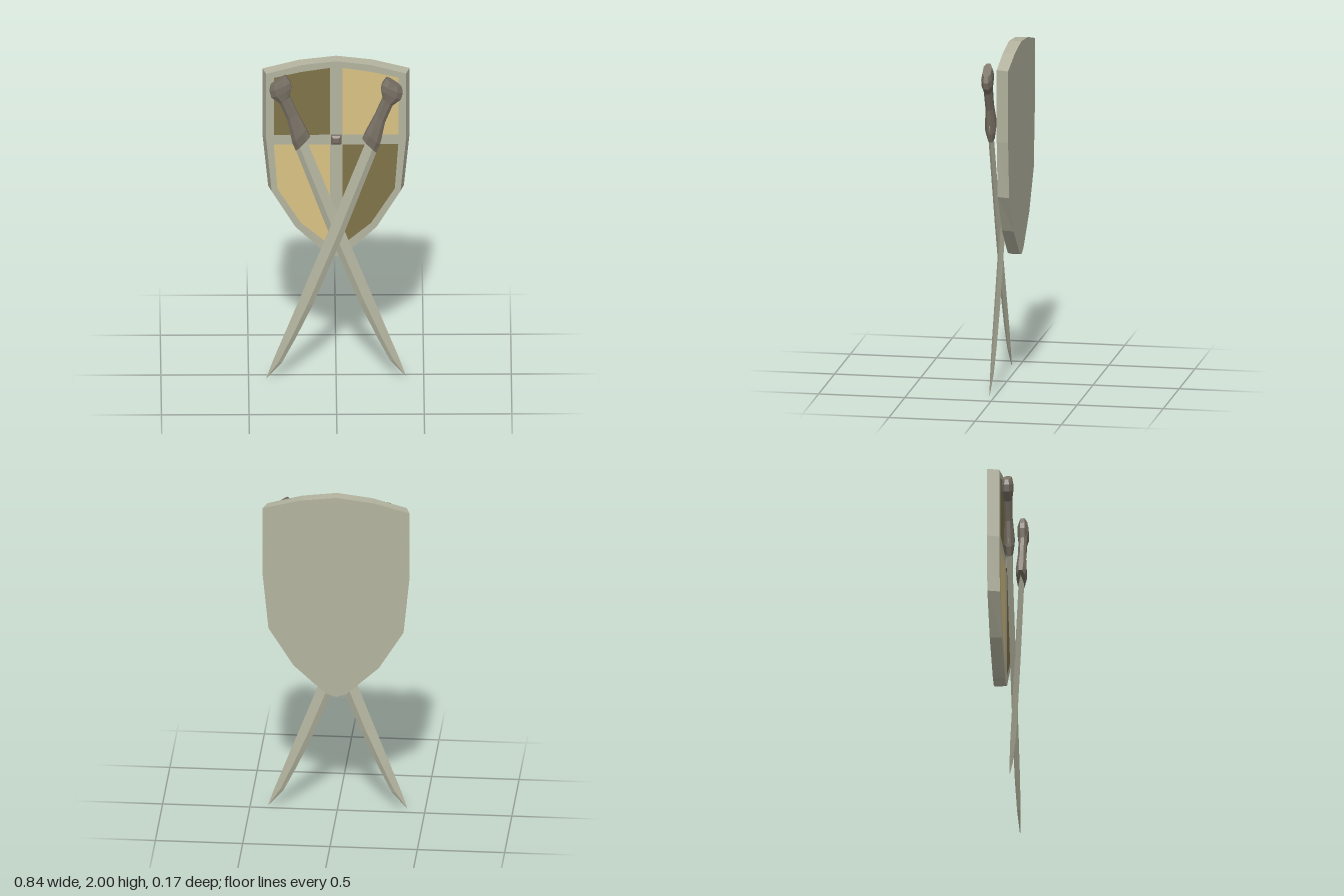
import * as THREE from 'three';

const paint = (color) => new THREE.MeshStandardMaterial({ color, flatShading: true });
const steel = paint(0xb4b4a0);
const gripBrown = paint(0x787064);
const tan = paint(0xd8c284);
const olive = paint(0x807348);

// Skins a list of rings (counter-clockwise about the path direction) and caps both ends.
function loft(rings) {
  const out = [];
  const tri = (a, b, c) => out.push(...a, ...b, ...c);
  const n = rings[0].length;
  for (let r = 0; r < rings.length - 1; r++) {
    const a = rings[r], b = rings[r + 1];
    for (let i = 0; i < n; i++) {
      const j = (i + 1) % n;
      tri(a[i], a[j], b[j]);
      tri(a[i], b[j], b[i]);
    }
  }
  const first = rings[0], last = rings[rings.length - 1];
  for (let i = 1; i < n - 1; i++) {
    tri(first[0], first[i + 1], first[i]);
    tri(last[0], last[i], last[i + 1]);
  }
  const g = new THREE.BufferGeometry();
  g.setAttribute('position', new THREE.Float32BufferAttribute(out, 3));
  g.computeVertexNormals();
  return g;
}

function part(name, geometry, material) {
  const m = new THREE.Mesh(geometry, material);
  m.name = name;
  return m;
}

// Sections: [outer x, outer y, inner x, inner y, half thickness, centre z offset]
const BLADE = [
  [-0.4, 0, -0.398, 0.002, 0.001, -1],
  [-0.355, 0.13, -0.31, 0.1, 0.01, -0.8],
  [-0.295, 0.286, -0.235, 0.25, 0.015, -0.6],
  [-0.215, 0.495, -0.132, 0.475, 0.017, -0.4],
  [-0.04, 0.955, 0.043, 0.925, 0.017, -0.2],
  [0.2, 1.6, 0.265, 1.55, 0.016, 0],
];
const HANDLE = [
  [0.15, 1.54, 0.23, 1.452, 0.022, 0],
  [0.172, 1.59, 0.25, 1.505, 0.031, 0],
  [0.222, 1.695, 0.28, 1.65, 0.022, 0],
  [0.265, 1.8, 0.322, 1.755, 0.024, 0],
  [0.256, 1.855, 0.37, 1.795, 0.031, 0],
  [0.262, 1.89, 0.38, 1.835, 0.031, 0],
  [0.287, 1.93, 0.372, 1.87, 0.024, 0],
];
// Cross-sections: [fraction of the width, fraction of the half thickness]
const DIAMOND = [[0, 0], [0.62, 1], [1, 0], [0.62, -1]];
const OCTAGON = [[0, -0.45], [0, 0.45], [0.25, 1], [0.75, 1], [1, 0.45], [1, -0.45], [0.75, -1], [0.25, -1]];

function swept(sections, profile, side, z, lean) {
  return loft(sections.map(([x0, y0, x1, y1, half, off]) => {
    const ring = profile.map(([u, w]) => [
      side * (x0 + (x1 - x0) * u), y0 + (y1 - y0) * u, z + off * lean + w * half,
    ]);
    return side < 0 ? ring.reverse() : ring;
  }));
}

function sword(name, side, z, lean) {
  const g = new THREE.Group();
  g.name = name;
  g.add(part('blade', swept(BLADE, DIAMOND, side, z, lean), steel));
  g.add(part('handle', swept(HANDLE, OCTAGON, side, z, 0), gripBrown));
  return g;
}

function shield() {
  const g = new THREE.Group();
  g.name = 'shield';
  // Plate, narrowing towards its front face
  const half = [[0.21, 1.975], [0.42, 1.92], [0.42, 1.5], [0.387, 1.168], [0.245, 0.94], [0.06, 0.77]];
  const mirrored = half.map(([x, y]) => [-x, y]);
  const outline = [[0, 2], ...mirrored, [0, 0.75], ...half.slice().reverse()];
  const ring = (scale, z) => outline.map(([x, y]) => [x * scale, y, z]);
  g.add(part('plate', loft([ring(1, -0.085), ring(0.95, -0.015)]), steel));

  // Painted quarters
  const upper = [[0.036, 1.53], [0.355, 1.53], [0.355, 1.895], [0.2, 1.932], [0.036, 1.958]];
  const lower = [[0.036, 1.468], [0.036, 0.825], [0.2, 0.965], [0.335, 1.185], [0.355, 1.468]];
  const quarter = (name, pts, side, mat) => {
    const shape = new THREE.Shape(pts.map(([x, y]) => new THREE.Vector2(side * x, y)));
    const m = part(name, new THREE.ShapeGeometry(shape), mat);
    m.position.z = -0.0135;
    g.add(m);
  };
  quarter('upperLeftQuarter', upper, 1, tan);
  quarter('upperRightQuarter', upper, -1, olive);
  quarter('lowerLeftQuarter', lower, 1, olive);
  quarter('lowerRightQuarter', lower, -1, tan);

  // Square stud in the centre
  const square = (h, z) => [[-h, 1.5 - h, z], [h, 1.5 - h, z], [h, 1.5 + h, z], [-h, 1.5 + h, z]];
  g.add(part('centreStud', loft([square(0.03, -0.016), square(0.027, -0.004), square(0.016, 0.007)]), gripBrown));
  return g;
}

export function createModel() {
  const model = new THREE.Group();
  model.name = 'shieldWithCrossedSwords';
  model.add(shield());
  model.add(sword('frontSword', 1, 0.053, 0.008));
  model.add(sword('rearSword', -1, 0.024, -0.003));
  return model;
}
